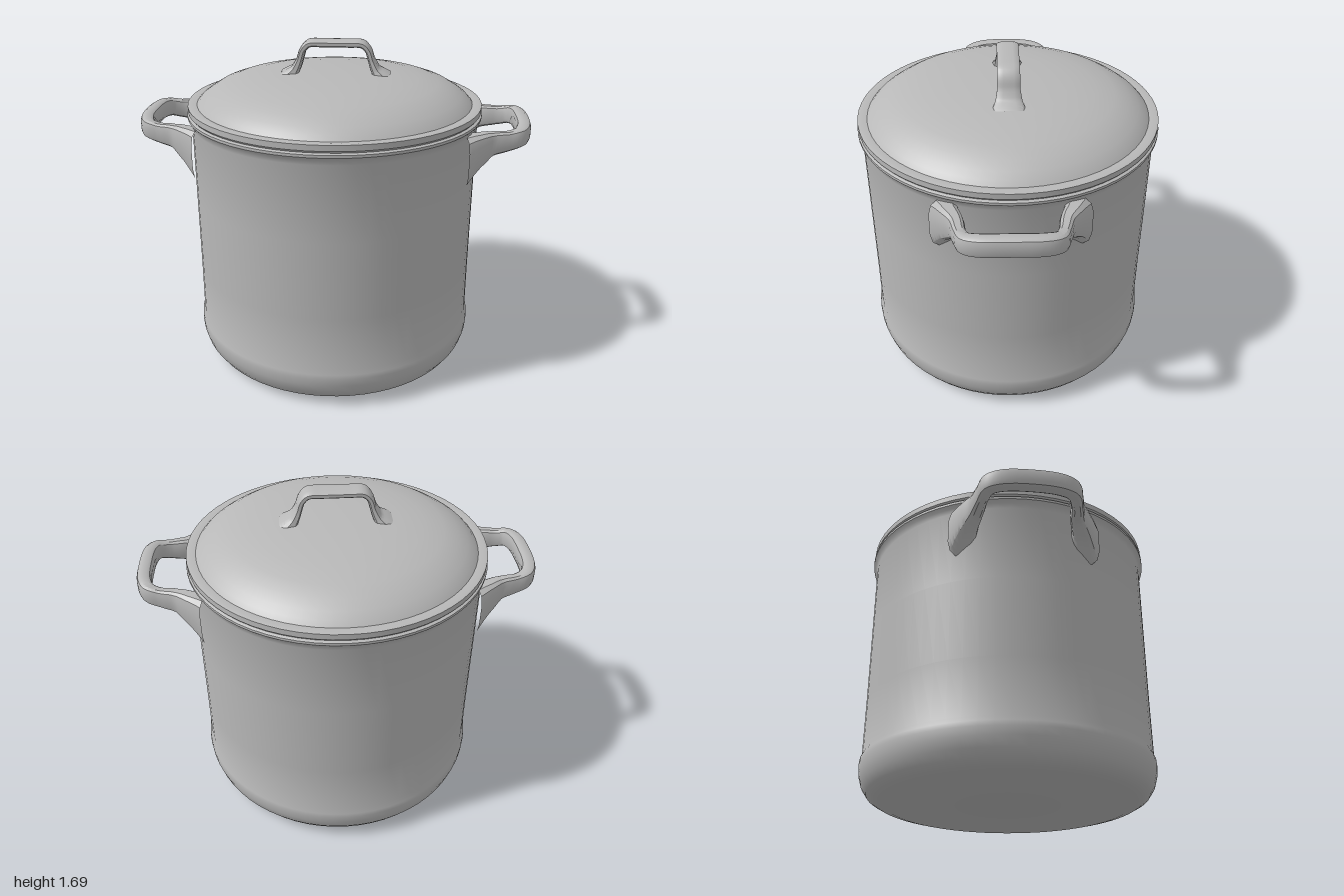
import * as THREE from 'three';
import { toCreasedNormals } from 'three/addons/utils/BufferGeometryUtils.js';

const metal = new THREE.MeshStandardMaterial({ color: 0xb8b8b8 });
metal.name = 'brushed metal';

function part(name, geometry) {
  const mesh = new THREE.Mesh(toCreasedNormals(geometry, 0.6), metal);
  mesh.name = name;
  return mesh;
}

function turned(name, profile) {
  return part(name, new THREE.LatheGeometry(profile.map(([r, y]) => new THREE.Vector2(r, y)), 64));
}

// Sweeps a bevelled bar along a planar path.
// stations: [position, half thickness in the plane, half width along the axis]
function sweptBar(name, stations, axis, steps = 48, sides = 12) {
  const path = new THREE.CatmullRomCurve3(stations.map((s) => s[0]), false, 'centripetal');
  const last = stations.length - 1;
  const positions = [];
  const index = [];
  for (let i = 0; i <= steps; i++) {
    const t = i / steps;
    const p = path.getPoint(t);
    const tangent = path.getTangent(t);
    tangent.addScaledVector(axis, -tangent.dot(axis)).normalize();
    const normal = new THREE.Vector3().crossVectors(axis, tangent);
    const k = Math.min(Math.floor(t * last), last - 1);
    const thick = THREE.MathUtils.lerp(stations[k][1], stations[k + 1][1], t * last - k);
    const width = THREE.MathUtils.lerp(stations[k][2], stations[k + 1][2], t * last - k);
    for (let j = 0; j < sides; j++) {
      // superellipse section
      const a = ((j + 0.5) / sides) * Math.PI * 2;
      const c = Math.sign(Math.cos(a)) * Math.abs(Math.cos(a)) ** 0.6;
      const s = Math.sign(Math.sin(a)) * Math.abs(Math.sin(a)) ** 0.6;
      const v = p.clone().addScaledVector(normal, c * thick).addScaledVector(axis, s * width);
      positions.push(v.x, v.y, v.z);
      if (i < steps) {
        const q = i * sides + j;
        const r = i * sides + ((j + 1) % sides);
        index.push(q, r, q + sides, r, r + sides, q + sides);
      }
    }
  }
  const geometry = new THREE.BufferGeometry();
  geometry.setAttribute('position', new THREE.Float32BufferAttribute(positions, 3));
  geometry.setIndex(index);
  return part(name, geometry);
}

// Completes a half list of stations with its mirror image.
function mirrored(half, flip) {
  const other = half.slice(0, -1).reverse().map(([p, h, w]) => [p.clone().multiply(flip), h, w]);
  return [...half, ...other];
}

export function createModel() {
  const model = new THREE.Group();
  model.name = 'stockpot';
  const V = (x, y, z) => new THREE.Vector3(x, y, z);

  // Pot body with the thick base band and the rim
  model.add(turned('potBody', [
    [0, 0], [0.62, 0.005], [0.665, 0.017], [0.705, 0.04], [0.732, 0.08], [0.747, 0.13], [0.75, 0.17],
    [0.748, 0.195], [0.738, 0.22], [0.736, 0.5], [0.736, 0.9], [0.736, 1.285], [0.744, 1.31],
    [0.756, 1.325], [0.756, 1.338], [0.742, 1.345], [0.7, 1.345],
  ]));

  // Lid with its flange and low dome
  model.add(turned('lid', [
    [0.7, 1.34], [0.742, 1.343], [0.752, 1.355], [0.752, 1.383], [0.738, 1.386], [0.705, 1.383],
    [0.685, 1.405], [0.65, 1.43], [0.6, 1.46], [0.53, 1.485], [0.43, 1.506], [0.3, 1.521],
    [0.15, 1.528], [0, 1.53],
  ]));

  // Lid handle with flared feet
  const lidHalf = [
    [V(-0.24, 1.495, 0), 0.05, 0.085],
    [V(-0.205, 1.54, 0), 0.025, 0.065],
    [V(-0.182, 1.59, 0), 0.018, 0.056],
    [V(-0.165, 1.64, 0), 0.017, 0.055],
    [V(-0.135, 1.669, 0), 0.018, 0.055],
    [V(-0.07, 1.672, 0), 0.018, 0.055],
    [V(0, 1.672, 0), 0.018, 0.055],
  ];
  const lidHandle = sweptBar('lidHandle', mirrored(lidHalf, V(-1, 1, 1)), V(0, 0, 1));
  lidHandle.position.x = 0.006;
  model.add(lidHandle);

  // Side handles, flaring down the wall where they join it
  const sideHalf = [
    [V(0.65, 1.165, 0.3), 0.075, 0.13],
    [V(0.72, 1.21, 0.275), 0.052, 0.09],
    [V(0.79, 1.238, 0.242), 0.037, 0.06],
    [V(0.87, 1.248, 0.224), 0.03, 0.05],
    [V(0.928, 1.262, 0.2), 0.034, 0.048],
    [V(0.955, 1.27, 0.14), 0.036, 0.05],
    [V(0.963, 1.275, 0), 0.037, 0.05],
  ];
  const stations = mirrored(sideHalf, V(1, 1, -1));
  for (const [name, angle] of [['leftHandle', 0], ['rightHandle', Math.PI]]) {
    const handle = sweptBar(name, stations, V(0, 1, 0));
    handle.rotation.y = angle;
    model.add(handle);
  }
  return model;
}
